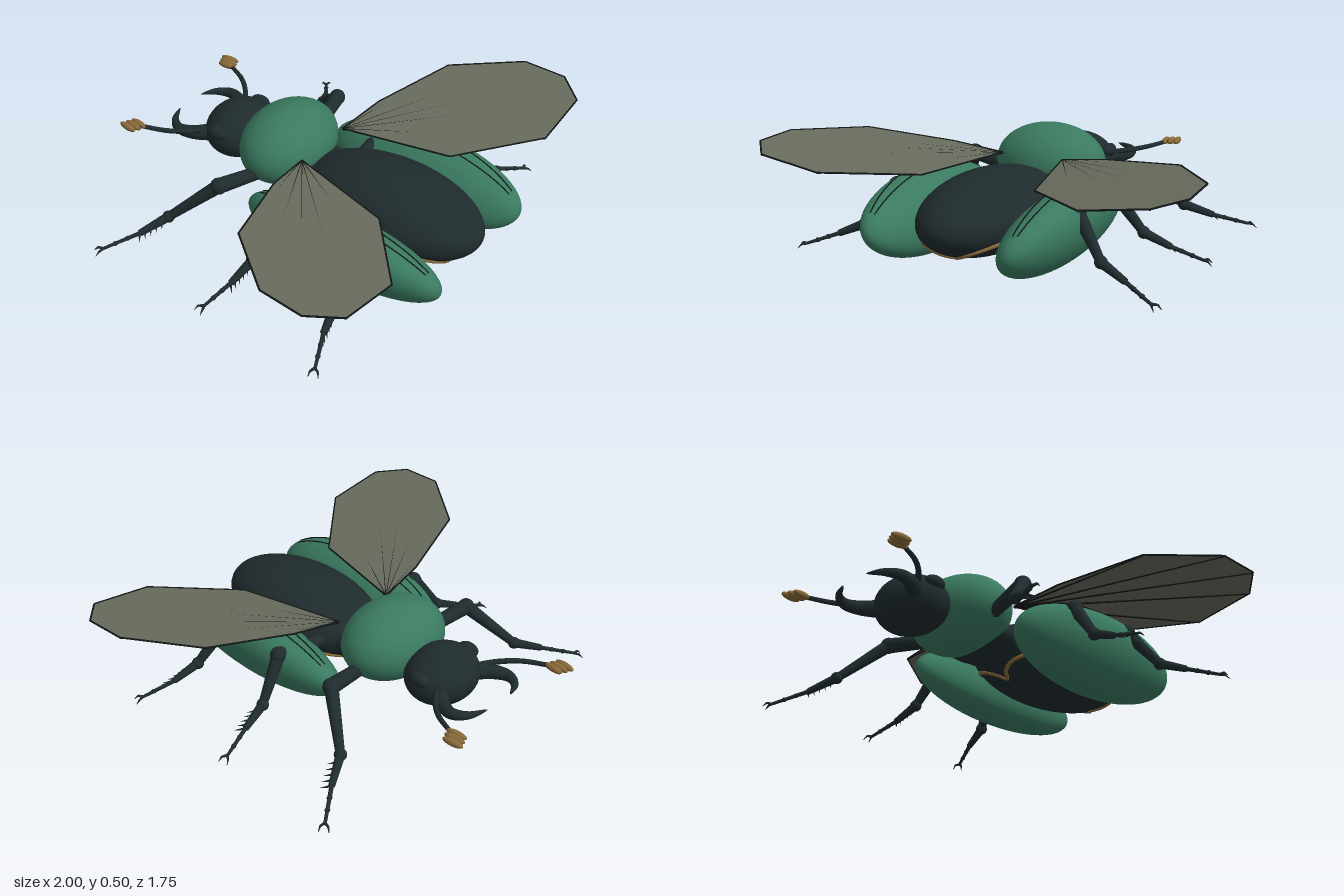
import * as THREE from 'three';

const mat = (name, color, extra = {}) => {
  const m = new THREE.MeshStandardMaterial({ color, ...extra });
  m.name = name;
  return m;
};
const V = (x, y, z) => new THREE.Vector3(x, y, z);

export function createModel() {
  const model = new THREE.Group();
  model.name = 'beetle';
  const green = mat('shell green', 0x3a7a60);
  const dark = mat('body black', 0x1f2b2d);
  const amber = mat('amber', 0x8a6a3a);
  const veinMat = mat('vein black', 0x121614);
  const membrane = mat('wing membrane', 0x676b5d, { side: THREE.DoubleSide });

  const add = (parent, name, geo, m) => {
    const mesh = new THREE.Mesh(geo, m);
    mesh.name = name;
    parent.add(mesh);
    return mesh;
  };
  const group = (parent, name) => {
    const g = new THREE.Group();
    g.name = name;
    parent.add(g);
    return g;
  };
  const ellipsoid = (parent, name, c, r, m, seg = 32) => {
    const mesh = add(parent, name, new THREE.SphereGeometry(1, seg, seg * 0.75), m);
    mesh.position.copy(c);
    mesh.scale.set(...r);
    return mesh;
  };
  // Straight tapered piece from a to b
  const limb = (parent, name, a, b, ra, rb, m = dark, seg = 10) => {
    const mesh = add(parent, name, new THREE.CylinderGeometry(rb, ra, a.distanceTo(b), seg), m);
    mesh.position.copy(a).lerp(b, 0.5);
    mesh.quaternion.setFromUnitVectors(V(0, 1, 0), b.clone().sub(a).normalize());
    return mesh;
  };
  // Curved tube whose radius follows radius(t)
  const taperTube = (parent, name, pts, radius, m, closed = false, n = 24) => {
    const curve = new THREE.CatmullRomCurve3(pts, closed);
    const sides = 10;
    const geo = new THREE.TubeGeometry(curve, n, 1, sides, closed);
    const p = geo.attributes.position;
    for (let i = 0; i < p.count; i++) {
      const t = Math.floor(i / (sides + 1)) / n;
      const c = curve.getPointAt(t);
      const v = V(0, 0, 0).fromBufferAttribute(p, i).sub(c).multiplyScalar(radius(t)).add(c);
      p.setXYZ(i, v.x, v.y, v.z);
    }
    geo.computeVertexNormals();
    return add(parent, name, geo, m);
  };

  // Trunk
  const abC = V(0, 0.24, 0.42), abR = [0.25, 0.17, 0.445];
  ellipsoid(model, 'abdomen', abC, abR, dark, 48);
  ellipsoid(model, 'thoraxUnderside', V(0, 0.24, -0.04), [0.17, 0.09, 0.2], dark);
  ellipsoid(model, 'pronotum', V(0, 0.325, -0.16), [0.262, 0.176, 0.2], green, 48);
  ellipsoid(model, 'head', V(0, 0.275, -0.45), [0.178, 0.128, 0.157], dark, 40);

  // Amber rim around the lower abdomen, dipping at the front and back
  const rim = [];
  for (let i = 0; i < 48; i++) {
    const a = (i / 48) * Math.PI * 2;
    const y = 0.108 + 0.1 * Math.abs(Math.sin(a));
    const k = Math.sqrt(1 - ((y - abC.y) / abR[1]) ** 2);
    rim.push(V(abR[0] * k * Math.sin(a), y, abC.z + abR[2] * k * Math.cos(a)));
  }
  taperTube(model, 'abdomenRim', rim, () => 0.009, amber, true, 96);

  const wingY = (x, z) => 0.365 + 0.15 * x - 0.04 * z;
  const outline = [[0.15, 0.03], [0.386, 0.064], [0.77, 0.195], [0.99, 0.485], [0.997, 0.69],
    [0.89, 0.815], [0.6, 0.82], [0.27, 0.53]];

  for (const s of [1, -1]) {
    const side = s > 0 ? 'left' : 'right';
    const P = (x, y, z) => V(s * x, y, z);

    // Wing case with two raised lines
    const elytron = group(model, side + 'WingCase');
    elytron.position.set(s * 0.32, 0.196, 0.376);
    elytron.rotation.z = -s * 0.593;
    ellipsoid(elytron, 'wingCaseShell', V(0, 0, 0), [0.136, 0.19, 0.5], green, 48);
    for (const phi of [-0.75, -0.45]) {
      const line = [];
      for (let i = 0; i <= 12; i++) {
        const th = 0.5 + (i / 12) * 2.1;
        const k = Math.sin(th) * (1 + 0.12 * Math.sin((i / 12) * Math.PI));
        line.push(V(s * 0.136 * Math.sin(phi) * k, 0.19 * Math.cos(phi) * k, 0.5 * Math.cos(th)));
      }
      taperTube(elytron, 'wingCaseLine', line, () => 0.0028, veinMat);
    }

    // Hind wing: flat membrane, edge vein and a fan of veins underneath
    const wing = group(model, side + 'Wing');
    const pts = outline.map(([x, z]) => P(x, wingY(x, z), z));
    const geo = new THREE.BufferGeometry().setFromPoints(pts);
    const index = [];
    for (let i = 1; i < pts.length - 1; i++) index.push(0, ...(s > 0 ? [i + 1, i] : [i, i + 1]));
    geo.setIndex(index);
    geo.computeVertexNormals();
    add(wing, 'wingMembrane', geo, membrane);
    pts.forEach((p, i) => {
      limb(wing, 'wingEdge', p, pts[(i + 1) % pts.length], 0.004, 0.004, veinMat, 6);
      if (i > 1 && i < 7) {
        const low = V(0, -0.004, 0);
        limb(wing, 'wingVein', pts[0].clone().add(low), p.clone().add(low), 0.005, 0.003, veinMat, 6);
      }
    });

    // Eye, jaw and antenna
    ellipsoid(model, side + 'Eye', P(0.158, 0.325, -0.46), [0.032, 0.032, 0.052], dark, 20);
    taperTube(model, side + 'Mandible',
      [P(0.11, 0.27, -0.53), P(0.165, 0.27, -0.6), P(0.185, 0.272, -0.67), P(0.15, 0.277, -0.73), P(0.075, 0.285, -0.768)],
      (t) => 0.04 * (1 - t) ** 0.7 + 0.001, dark);
    taperTube(model, side + 'Antenna',
      [P(0.1, 0.29, -0.52), P(0.2, 0.3, -0.59), P(0.27, 0.308, -0.67), P(0.325, 0.315, -0.79)],
      (t) => 0.014 - 0.004 * t, dark);
    for (let i = 0; i < 3; i++) {
      const lobe = ellipsoid(model, side + 'AntennaClub', P(0.315 + i * 0.025, 0.315, -0.805 - i * 0.012),
        [0.016, 0.016, 0.05], amber, 16);
      lobe.rotation.y = s * 0.1;
    }

    // Legs: hip, knee, ankle and foot depths for each pair
    const legs = {
      Front: [-0.16, -0.21, -0.4, -0.47, -0.57],
      Middle: [0.12, 0.12, 0.085, 0.065, 0.03],
      Hind: [0.45, 0.47, 0.53, 0.56, 0.62],
    };
    for (const [pair, z] of Object.entries(legs)) {
      const leg = group(model, side + pair + 'Leg');
      const hip = P(0.18, 0.26, z[0]), knee = P(0.435, 0.305, z[1]);
      const shin = P(0.57, 0.125, z[2]), ankle = P(0.69, 0.072, z[3]), foot = P(0.825, 0.022, z[4]);
      limb(leg, 'femur', hip, knee, 0.03, 0.036);
      ellipsoid(leg, 'knee', knee, [0.038, 0.038, 0.038], dark, 16);
      limb(leg, 'tibia', knee, shin, 0.032, 0.02);
      ellipsoid(leg, 'shinJoint', shin, [0.028, 0.028, 0.028], dark, 16);
      limb(leg, 'lowerTibia', shin, ankle, 0.022, 0.015);
      limb(leg, 'tarsus', ankle, foot, 0.01, 0.007);
      for (let i = 0; i < 3; i++) {
        ellipsoid(leg, 'tarsusBead', ankle.clone().lerp(foot, i * 0.33), [0.013, 0.011, 0.011], dark, 10);
      }
      // Spines along the shin
      for (let i = 0; i < 5; i++) {
        const a = shin.clone().lerp(ankle, 0.25 + i * 0.19);
        limb(leg, 'spine', a, a.clone().add(P(0.035, -0.01, 0.035)), 0.007, 0.0005, dark, 6);
      }
      // Forked claw
      const out = foot.clone().sub(ankle).setY(0).normalize();
      const across = V(-out.z, 0, out.x);
      for (const k of [1, -1]) {
        const mid = foot.clone().addScaledVector(out, 0.02).addScaledVector(across, k * 0.016);
        const tip = mid.clone().addScaledVector(out, 0.018).addScaledVector(across, k * 0.006);
        tip.y = 0.004;
        limb(leg, 'claw', foot, mid, 0.007, 0.005, dark, 6);
        limb(leg, 'clawTip', mid, tip, 0.005, 0.001, dark, 6);
      }
    }
  }
  return model;
}
